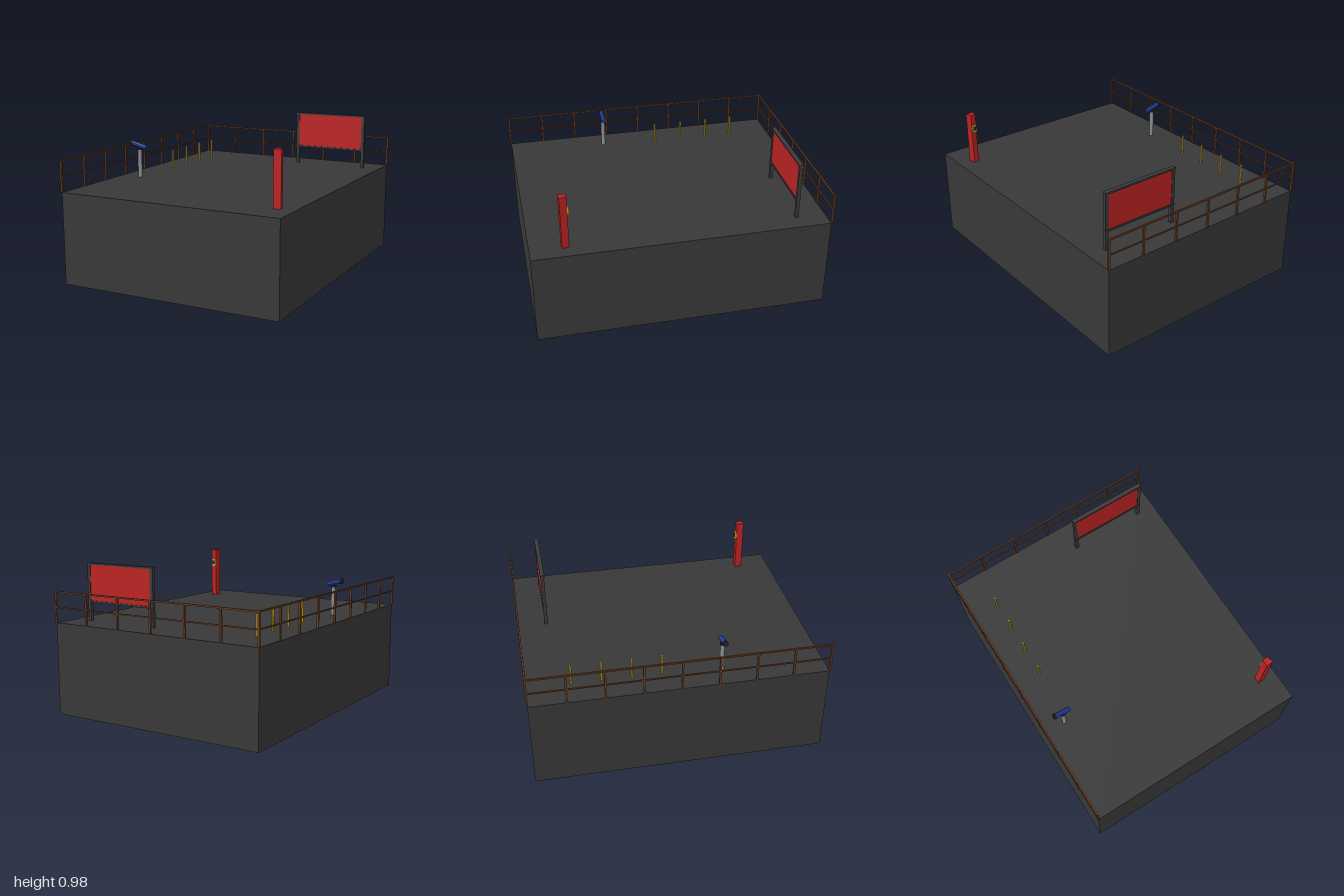
import * as THREE from 'three';

const mat = (name, color) => {
  const m = new THREE.MeshStandardMaterial({ color });
  m.name = name;
  return m;
};

export function createModel() {
  const charcoal = mat('charcoal', 0x383838);
  const brown = mat('rust brown', 0x6b3d20);
  const red = mat('red', 0xbb2222);
  const frameGrey = mat('frame grey', 0x3a3a3c);
  const yellow = mat('yellow', 0xccaa2a);
  const blue = mat('blue', 0x2448b0);
  const steel = mat('steel', 0x8c9098);
  const black = mat('black', 0x222222);
  yellow.flatShading = true;
  blue.flatShading = true;
  black.flatShading = true;

  const model = new THREE.Group();
  model.name = 'roofTerrace';
  const add = (parent, name, geo, material, x, y, z) => {
    const mesh = new THREE.Mesh(geo, material);
    mesh.name = name;
    mesh.position.set(x, y, z);
    parent.add(mesh);
    return mesh;
  };
  const box = (parent, name, material, w, h, d, x, y, z) =>
    add(parent, name, new THREE.BoxGeometry(w, h, d), material, x, y, z);

  // Terrace, sitting at a slight angle, with everything aligned to its edges
  const TILT = -0.0765, W = 1.5, D = 1.876, FLOOR = 0.6;
  const terrace = new THREE.Group();
  terrace.name = 'terrace';
  terrace.rotation.y = TILT;
  model.add(terrace);
  box(terrace, 'block', charcoal, W, FLOOR, D, 0, FLOOR / 2, 0);

  // Railings along the right-hand (-x) and back edges
  const railing = new THREE.Group();
  railing.name = 'railing';
  terrace.add(railing);
  const post = (x, z) => box(railing, 'railPost', brown, 0.012, 0.2, 0.012, x, FLOOR + 0.1, z);
  for (let i = 0; i <= 8; i++) post(-W / 2, D / 2 - (i * D) / 8);
  for (let i = 1; i <= 6; i++) post(-W / 2 + (i * W) / 6, -D / 2);
  for (const [y, t] of [[0.8, 0.01], [0.7, 0.008]]) {
    box(railing, 'sideRail', brown, t, t, D + 0.012, -W / 2, y, 0);
    box(railing, 'backRail', brown, W + 0.012, t, t, 0, y, -D / 2);
  }

  // Billboard: frame, red panel and two legs
  const board = new THREE.Group();
  board.name = 'billboard';
  board.position.set(0.375, 0, -0.751);
  terrace.add(board);
  box(board, 'panel', red, 0.5, 0.245, 0.016, 0, 0.848, 0);
  for (const s of [-1, 1])
    box(board, 'leg', frameGrey, 0.022, 0.375, 0.022, s * 0.251, 0.7875, 0);
  for (const y of [0.725, 0.969])
    box(board, 'frameBar', frameGrey, 0.526, 0.012, 0.028, 0, y, 0);

  // Tapered information pillar with a small screen on its back
  const pillar = new THREE.Group();
  pillar.name = 'pillar';
  pillar.position.set(0.58, 0, 0.765);
  model.add(pillar);
  const section = new THREE.Shape([
    new THREE.Vector2(-0.025, -0.023), new THREE.Vector2(0.025, -0.023),
    new THREE.Vector2(0.018, 0.023), new THREE.Vector2(-0.018, 0.023),
  ]);
  const column = new THREE.ExtrudeGeometry(section, { depth: 0.35, bevelEnabled: false });
  column.rotateX(-Math.PI / 2);
  add(pillar, 'column', column, red, 0, FLOOR, 0);
  box(pillar, 'screenSurround', yellow, 0.03, 0.055, 0.01, 0, 0.85, -0.028);
  box(pillar, 'screen', black, 0.018, 0.026, 0.006, 0, 0.852, -0.032);

  // Row of short yellow marker poles
  for (let i = 0; i < 4; i++)
    add(model, 'markerPole', new THREE.CylinderGeometry(0.008, 0.008, 0.135, 6), yellow,
      -0.515 - i * 0.015, FLOOR + 0.0675, -0.7 + i * 0.188);

  // Viewing telescope on a steel stand
  const scope = new THREE.Group();
  scope.name = 'telescope';
  scope.position.set(-0.62, 0, 0.235);
  scope.rotation.y = TILT;
  model.add(scope);
  add(scope, 'stand', new THREE.CylinderGeometry(0.014, 0.014, 0.19, 16), steel, 0, FLOOR + 0.095, 0);
  add(scope, 'collar', new THREE.CylinderGeometry(0.019, 0.019, 0.012, 12), black, 0, 0.794, 0);
  const barrel = new THREE.Group();
  barrel.name = 'barrel';
  barrel.position.set(-0.008, 0.82, 0);
  barrel.rotation.z = -0.24;
  scope.add(barrel);
  const tube = (name, r, len, x, material) => {
    const geo = new THREE.CylinderGeometry(r, r, len, 8);
    geo.rotateX(0).rotateY(Math.PI / 8).rotateZ(Math.PI / 2);
    add(barrel, name, geo, material, x, 0, 0);
  };
  tube('tube', 0.016, 0.108, 0.004, blue);
  tube('lensHood', 0.019, 0.014, -0.052, black);

  return model;
}
